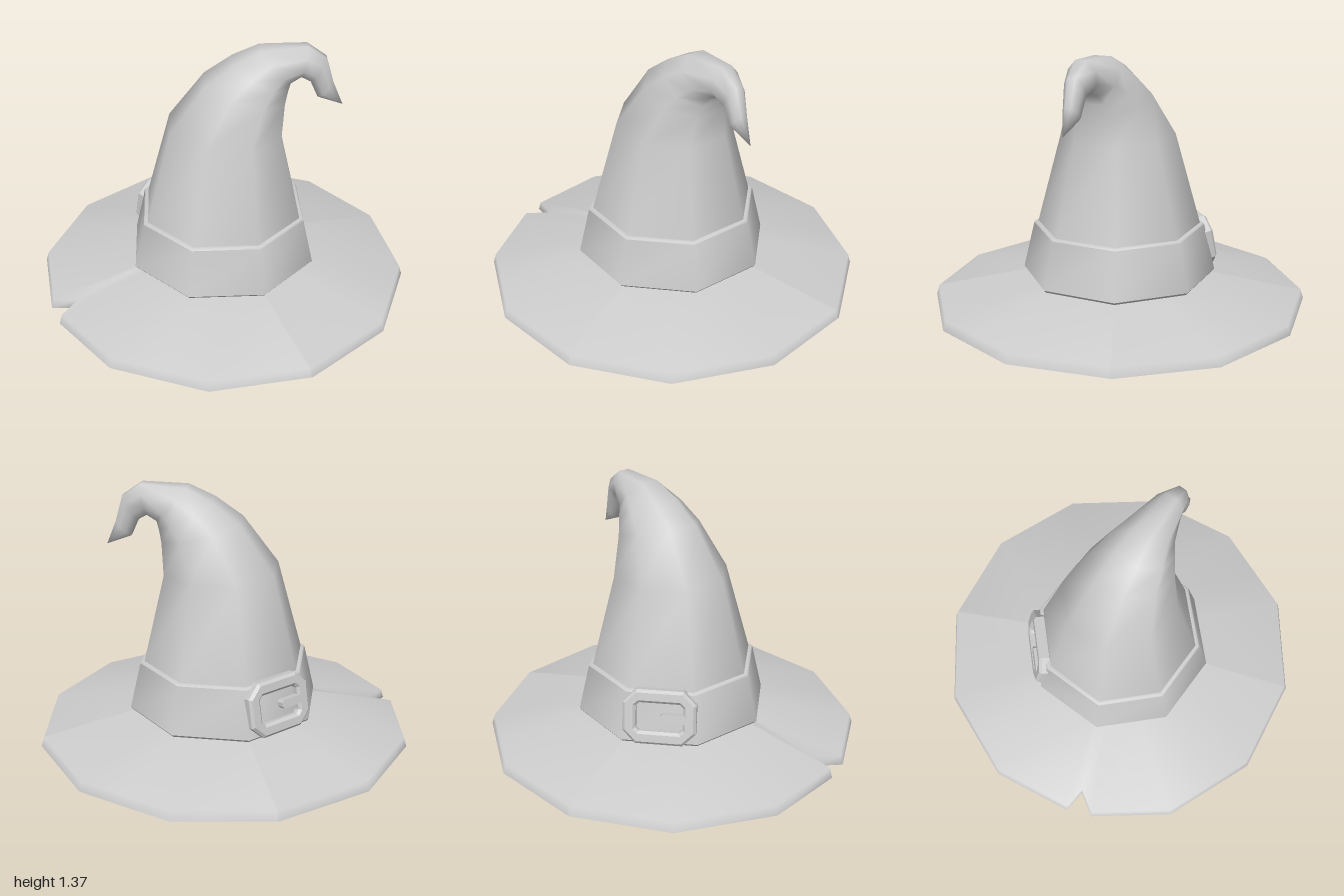
import * as THREE from 'three';

const SIDES = 8;

// Smooth surface through closed rings of equal point count; an optional tip closes the end
function loft(rings, tip) {
  const n = rings[0].length;
  const pos = rings.flat().flatMap((p) => [p.x, p.y, p.z]);
  const index = [];
  for (let r = 0; r < rings.length - 1; r++) {
    for (let i = 0; i < n; i++) {
      const a = r * n + i, b = r * n + (i + 1) % n;
      index.push(a, a + n, b, b, a + n, b + n);
    }
  }
  if (tip) {
    const last = (rings.length - 1) * n;
    pos.push(tip.x, tip.y, tip.z);
    for (let i = 0; i < n; i++) index.push(last + i, rings.length * n, last + (i + 1) % n);
  }
  const geo = new THREE.BufferGeometry();
  geo.setAttribute('position', new THREE.Float32BufferAttribute(pos, 3));
  geo.setIndex(index);
  geo.computeVertexNormals();
  return geo;
}

// Distance from the axis to an octagon with flats facing x and z
function octRadius(angle, apothem) {
  const step = Math.PI / 4;
  return apothem / Math.cos(angle - Math.round(angle / step) * step);
}

function octRing(apothem, y) {
  const ring = [];
  for (let i = 0; i < SIDES; i++) {
    const a = (i + 0.5) * Math.PI / 4;
    const r = octRadius(a, apothem);
    ring.push(new THREE.Vector3(r * Math.cos(a), y, r * Math.sin(a)));
  }
  return ring;
}

// Chamfered rectangle outline
function chamfered(Type, w, h, c) {
  const x = w / 2, y = h / 2;
  return new Type([[x, -y + c], [x, y - c], [x - c, y], [-x + c, y], [-x, y - c],
    [-x, -y + c], [-x + c, -y], [x - c, -y]].map(([a, b]) => new THREE.Vector2(a, b)));
}

// Twelve-sided brim outline with a tear in place of one corner,
// plus a point on each segment that an octagon corner direction crosses
function brimOutline() {
  const corners = [];
  for (let i = 0; i < 12; i++) {
    if (i === 4) {
      corners.push([-0.945, -0.30], [-0.805, -0.3334], [-0.89, -0.43]);
    } else {
      const a = THREE.MathUtils.degToRad(81.7 + i * 30);
      corners.push([1.01 * Math.cos(a), 1.01 * Math.sin(a)]);
    }
  }
  const outline = [];
  corners.forEach(([px, pz], i) => {
    const [qx, qz] = corners[(i + 1) % corners.length];
    outline.push([px, pz]);
    for (let k = 0; k < SIDES; k++) {
      const a = (k + 0.5) * Math.PI / 4, dx = Math.cos(a), dz = Math.sin(a);
      const t = (dz * px - dx * pz) / (dx * (qz - pz) - dz * (qx - px));
      const x = px + t * (qx - px), z = pz + t * (qz - pz);
      if (t > 0.02 && t < 0.98 && x * dx + z * dz > 0) outline.push([x, z]);
    }
  });
  return outline;
}

export function createModel() {
  const hat = new THREE.Group();
  hat.name = 'pointedHat';
  const felt = new THREE.MeshStandardMaterial({ color: 0xcccccc, side: THREE.DoubleSide });
  felt.name = 'plainGrey';
  const add = (parent, name, geo) => {
    const mesh = new THREE.Mesh(geo, felt);
    mesh.name = name;
    parent.add(mesh);
    return mesh;
  };

  // Brim: rounded-over top, and an underside running smoothly into the lining
  const outline = brimOutline();
  const edge = (s, y) => outline.map(([x, z]) => new THREE.Vector3(x * s, y, z * s));
  const inner = (apothem, y) => outline.map(([x, z]) => {
    const a = Math.atan2(z, x), r = octRadius(a, apothem);
    return new THREE.Vector3(r * Math.cos(a), y, r * Math.sin(a));
  });
  const brim = new THREE.Group();
  brim.name = 'brim';
  hat.add(brim);
  add(brim, 'brimTop', loft([edge(1, 0), edge(0.985, 0.05), inner(0.46, 0.152)]));
  add(brim, 'brimUndersideAndLining',
    loft([inner(0.4, 0.43), inner(0.45, 0.15), inner(0.57, 0.04), edge(1, 0)]));

  // Crown: each row is back u, back y, front u, front y, half width; u runs along the x = z diagonal
  const sections = [
    [-0.405, 0.425, 0.405, 0.425, 0.405],
    [-0.275, 0.93, 0.30, 0.90, 0.28],
    [-0.09, 1.185, 0.315, 1.07, 0.20],
    [0.055, 1.29, 0.33, 1.135, 0.16],
    [0.19, 1.355, 0.345, 1.175, 0.12],
    [0.43, 1.365, 0.40, 1.20, 0.075],
    [0.53, 1.295, 0.45, 1.17, 0.052],
    [0.57, 1.155, 0.49, 1.08, 0.04],
  ];
  const diagonal = (u, y, w) =>
    new THREE.Vector3((u - w) * Math.SQRT1_2, y, (u + w) * Math.SQRT1_2);
  const crownRings = sections.map(([bu, by, fu, fy, half]) => {
    const ring = [];
    for (let i = 0; i < SIDES; i++) {
      const a = (i + 0.5) * Math.PI / 4;
      const c = Math.cos(a) / Math.cos(Math.PI / 8), s = Math.sin(a) / Math.cos(Math.PI / 8);
      ring.push(diagonal((bu + fu) / 2 + c * (fu - bu) / 2, (by + fy) / 2 + c * (fy - by) / 2, s * half));
    }
    return ring;
  });
  add(hat, 'crown', loft(crownRings, diagonal(0.625, 1.025, 0)));

  // Band: sloping wall with a small bevel below and a flat lip above
  const band = new THREE.Group();
  band.name = 'band';
  hat.add(band);
  add(band, 'bandWall', loft([octRing(0.48, 0.167), octRing(0.425, 0.42)]));
  add(band, 'bandLowerBevel', loft([octRing(0.46, 0.152), octRing(0.47, 0.154), octRing(0.48, 0.167)]));
  add(band, 'bandTopLip', loft([octRing(0.425, 0.42), octRing(0.418, 0.43), octRing(0.402, 0.43)]));

  // Buckle on the back of the band, leaning with its wall
  const buckle = new THREE.Group();
  buckle.name = 'buckle';
  buckle.position.set(0, 0.301, -0.434);
  buckle.rotation.order = 'YXZ';
  buckle.rotation.set(-0.2, Math.PI, 0);
  hat.add(buckle);
  const frame = chamfered(THREE.Shape, 0.352, 0.262, 0.06);
  frame.holes.push(chamfered(THREE.Path, 0.27, 0.18, 0.025));
  add(buckle, 'buckleFrame', new THREE.ExtrudeGeometry(frame, {
    depth: 0.042, bevelEnabled: true, bevelThickness: 0.014, bevelSize: 0.014, bevelSegments: 1,
  }));
  const prong = add(buckle, 'buckleProng', new THREE.ExtrudeGeometry(
    chamfered(THREE.Shape, 0.14, 0.045, 0.012), { depth: 0.04, bevelEnabled: false }));
  prong.position.set(0.075, 0, 0.022);

  return hat;
}
